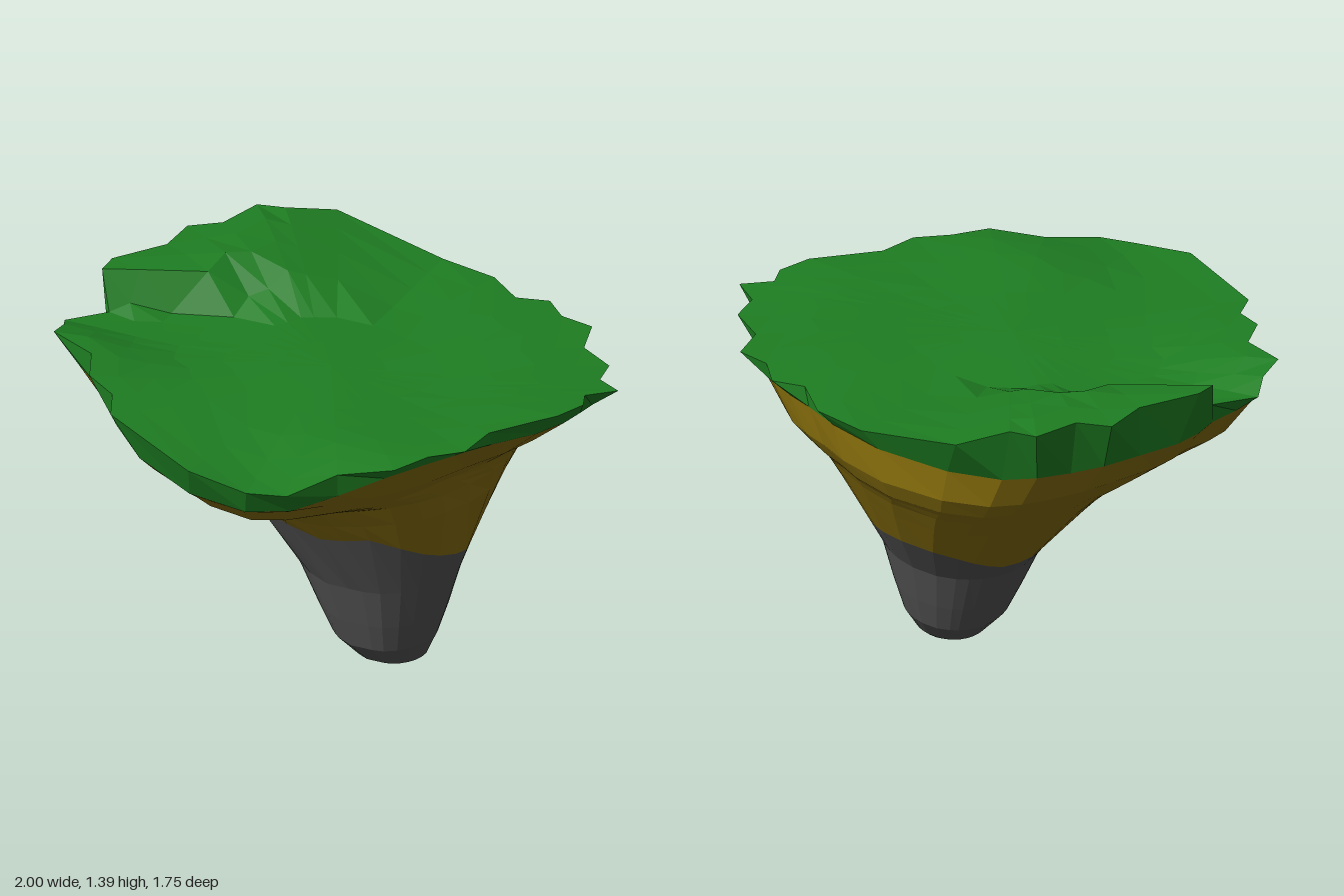
import * as THREE from 'three';

// Ragged rim of the island as x, z pairs, clockwise seen from above
const RIM = [
  -0.43, -0.87, 0, -0.88, 0.22, -0.86, 0.36, -0.76, 0.48, -0.80, 0.57, -0.72, 0.70, -0.71, 0.74, -0.57,
  0.88, -0.50, 0.90, -0.39, 1.0, -0.34, 0.91, -0.25, 0.94, -0.18, 0.90, -0.06, 0.73, 0.16, 0.71, 0.31,
  0.61, 0.41, 0.54, 0.54, 0.36, 0.64, 0.24, 0.81, 0.10, 0.86, -0.13, 0.875, -0.54, 0.70, -0.59, 0.59,
  -0.71, 0.54, -0.77, 0.41, -0.95, 0.36, -0.96, 0.26, -1.0, 0.18, -0.89, 0.04, -0.95, -0.02, -0.95, -0.10,
  -0.83, -0.30, -0.83, -0.46, -0.72, -0.53, -0.67, -0.70, -0.57, -0.73,
];
const N = RIM.length / 2;
const rim = Array.from({ length: N }, (_, i) => [RIM[2 * i], RIM[2 * i + 1]]);
// The rim with its spikes averaged away
const soft = rim.map((p, i) => {
  const a = rim[(i + N - 1) % N], b = rim[(i + 1) % N];
  return [0, 1].map((k) => (a[k] + 2 * p[k] + b[k]) / 4);
});

// Extents of the body by height: y, xMin, xMax, zMin, zMax, share of rim shape
const PROFILE = [
  [0, 0.12, 0.25, -0.24, -0.10, 0],
  [0.04, 0.02, 0.31, -0.29, -0.01, 0],
  [0.13, -0.06, 0.35, -0.36, 0.07, 0],
  [0.25, -0.12, 0.39, -0.40, 0.11, 0],
  [0.42, -0.20, 0.44, -0.45, 0.16, 0],
  [0.60, -0.34, 0.50, -0.57, 0.23, 0.05],
  [0.72, -0.44, 0.55, -0.64, 0.30, 0.2],
  [0.87, -0.59, 0.61, -0.73, 0.43, 0.5],
  [0.91, -0.65, 0.63, -0.76, 0.55, 0.7],
  [0.95, -0.71, 0.65, -0.80, 0.69, 0.9],
  [1.03, -0.81, 0.76, -0.84, 0.78, 1],
];

// Height of the line where rock meets soil, every 30 degrees from the left towards the front
const SEAM = [0.51, 0.58, 0.70, 0.68, 0.75, 0.62, 0.48, 0.50, 0.61, 0.61, 0.57, 0.51];

const { lerp, smoothstep, clamp } = THREE.MathUtils;

function bodyPoint(i, y) {
  let k = 0;
  while (k < PROFILE.length - 2 && PROFILE[k + 1][0] < y) k++;
  const a = PROFILE[k], b = PROFILE[k + 1];
  const t = clamp((y - a[0]) / (b[0] - a[0]), 0, 1);
  const [x0, x1, z0, z1, w] = a.slice(1).map((v, j) => lerp(v, b[j + 1], t));
  const u = soft[i][0] / 0.96, v = soft[i][1] / 0.87;
  const angle = Math.atan2(v, u);
  // Fuller at the back right corner, flatter at its neighbours, with a shallow groove up the front
  const diagonal = Math.sin(2 * angle);
  const corner = 1 + (diagonal < 0 ? 0.06 : u < 0 ? 0.09 : 0) * diagonal;
  const groove = 1 - 0.06 * Math.exp(-(((angle - 1.45) / 0.2) ** 2)) * smoothstep(0.65 - y, 0, 0.3);
  const s = lerp(corner * groove / Math.hypot(u, v), 1, w);
  return [(x0 + x1) / 2 + u * s * (x1 - x0) / 2, y, (z0 + z1) / 2 + v * s * (z1 - z0) / 2];
}

const bodyRing = (heightOf) => rim.map((_, i) => bodyPoint(i, heightOf(i)));

function seamHeight(i) {
  const turn = (Math.atan2(soft[i][1], soft[i][0]) / (Math.PI / 6) + 12) % 12;
  const k = Math.floor(turn);
  return lerp(SEAM[k], SEAM[(k + 1) % 12], turn - k);
}

// Lower edge of the grass, dipping at the front
const grassEdge = soft.map(([x, z]) => [
  x * 0.95,
  1.16 + 0.03 * smoothstep(z, -0.1, 0.3) - 0.12 * smoothstep(z, 0.4, 0.85),
  z * 0.96,
]);

// Height of the meadow: a raised shelf at the back right with a step along its edge
function meadowHeight(x, z) {
  const behind = -0.543 * (x + 0.9) - 0.84 * (z - 0.04);
  const shelf = 0.25 * clamp(-x, 0, 0.58) * smoothstep(behind, -0.02, 0.09);
  const corner = 0.09 * smoothstep(-x, 0.4, 0.95) * smoothstep(z, 0.1, 0.36);
  const dip = 0.06 * smoothstep(z, 0.4, 0.85) * smoothstep(x, -0.3, 0.1);
  return 1.235 + shelf + corner - dip + 0.012 * Math.sin(7 * x + 2) * Math.cos(6 * z);
}

const meadowRing = (s) => rim.map((p, i) => {
  const x = lerp(soft[i][0], p[0], s) * s, z = lerp(soft[i][1], p[1], s) * s;
  return [x, meadowHeight(x, z), z];
});

// Skin a sequence of equal rings
function loft(name, rings, color) {
  const pos = rings.flat(2), index = [];
  for (let r = 0; r < rings.length - 1; r++) {
    for (let i = 0; i < N; i++) {
      const j = (i + 1) % N;
      const a = r * N + i, b = a + N, c = r * N + j, d = c + N;
      index.push(a, b, d, a, d, c);
    }
  }
  const geo = new THREE.BufferGeometry();
  geo.setAttribute('position', new THREE.Float32BufferAttribute(pos, 3));
  geo.setIndex(index);
  geo.computeVertexNormals();
  const mesh = new THREE.Mesh(geo, new THREE.MeshStandardMaterial({ color, flatShading: true }));
  mesh.name = name;
  return mesh;
}

export function createModel() {
  const island = new THREE.Group();
  island.name = 'floatingIsland';

  // Rock tip, closed at the bottom
  const seam = bodyRing(seamHeight);
  const tip = rim.map(() => [0.18, 0, -0.17]);
  const rockRings = [0.005, 0.04, 0.13, 0.25, 0.42].map((y) => bodyRing(() => y));
  island.add(loft('rockTip', [tip, ...rockRings, seam], 0x535353));

  // Soil, flaring out to the grass
  const soilRings = [0.78, 0.87, 0.91, 0.95, 1.03].map((y) => bodyRing(() => y));
  island.add(loft('soil', [seam, ...soilRings, grassEdge], 0x866d0c));

  // Grass: outer band, then the meadow drawn in to its middle
  const meadow = [1, 0.88, 0.74, 0.58, 0.4, 0.2, 0].map(meadowRing);
  island.add(loft('grass', [grassEdge, ...meadow], 0x1e7e22));

  return island;
}
